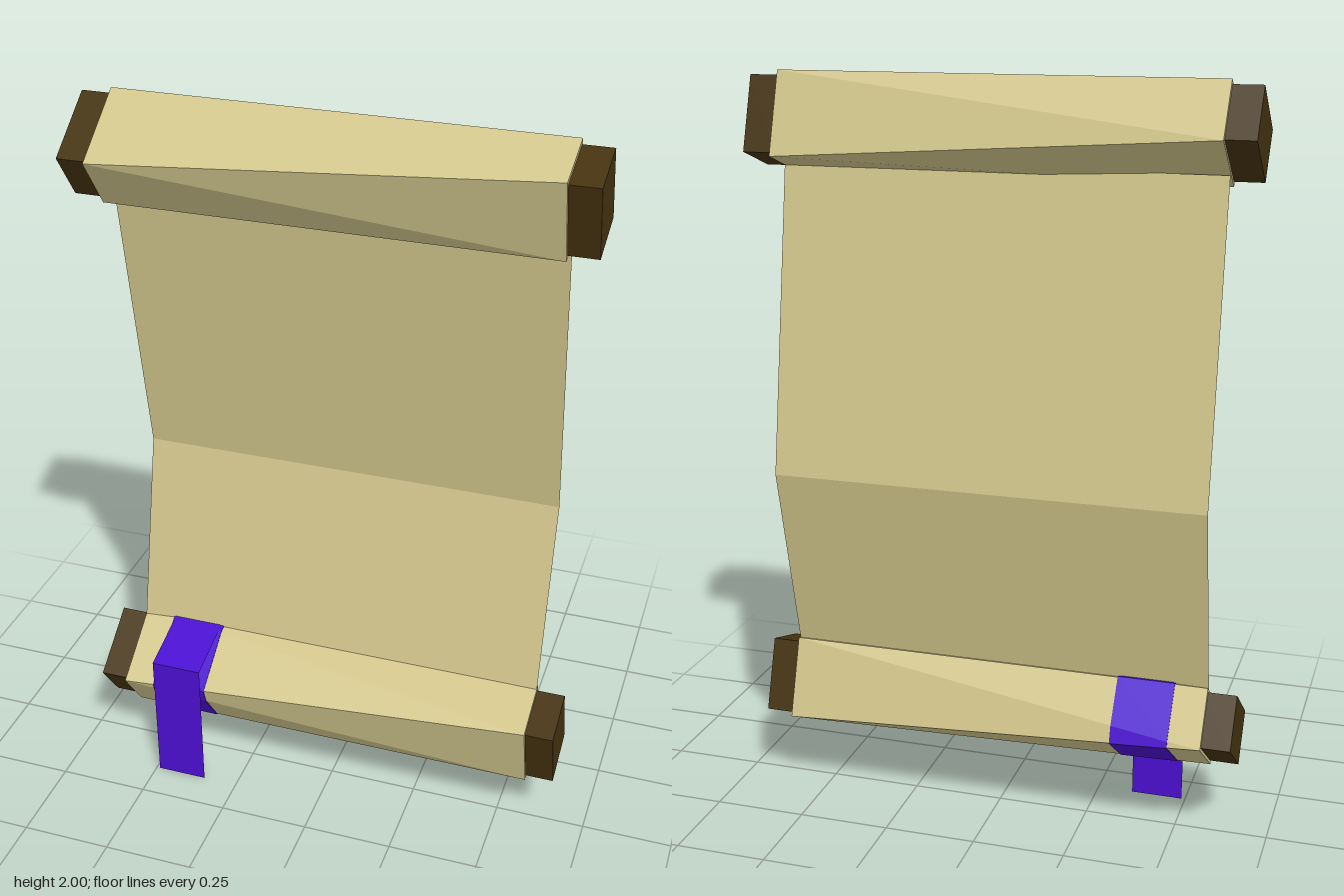
import * as THREE from 'three';

const parchment = new THREE.MeshStandardMaterial({ color: 0xd2c68c, side: THREE.DoubleSide });
parchment.name = 'parchment';
const wood = new THREE.MeshStandardMaterial({ color: 0x45330f });
wood.name = 'darkWood';
const ribbon = new THREE.MeshStandardMaterial({ color: 0x4b0fd0, side: THREE.DoubleSide });
ribbon.name = 'purpleRibbon';
for (const m of [parchment, wood, ribbon]) m.flatShading = true;

// Twisted roll sections at both ends, as [z, y] about the roll axis: front, top, back, bottom
const LEFT = [[0.145, 0], [-0.04, 0.132], [-0.135, -0.003], [0.05, -0.133]];
const RIGHT = [[0.12, 0.083], [-0.04, 0.132], [-0.11, -0.08], [0.05, -0.133]];
const HALF = 0.583;

const grow = (section, s) => section.map(([z, y]) => [0.005 + (z - 0.005) * s, y * s]);
const mix = (a, b, t) => [a[0] + (b[0] - a[0]) * t, a[1] + (b[1] - a[1]) * t];

function geometryFrom(triangles) {
  const g = new THREE.BufferGeometry();
  g.setAttribute('position', new THREE.Float32BufferAttribute(triangles.flat(2), 3));
  g.computeVertexNormals();
  return g;
}

// Solid between two sections with equal point counts, at x0 < x1
function loft(a, x0, b, x1) {
  const A = a.map(([z, y]) => [x0, y, z]);
  const B = b.map(([z, y]) => [x1, y, z]);
  const n = A.length;
  const tris = [];
  for (let i = 0; i < n; i++) {
    const j = (i + 1) % n;
    tris.push([A[i], B[i], A[j]], [A[j], B[i], B[j]]);
    if (i > 0 && i < n - 1) tris.push([A[0], A[i], A[j]], [B[0], B[j], B[i]]);
  }
  return geometryFrom(tris);
}

// Open sheet following a [z, y] path
function sheet(path, x0, x1) {
  const tris = [];
  for (let i = 0; i < path.length - 1; i++) {
    const [[za, ya], [zb, yb]] = [path[i], path[i + 1]];
    const p = [x0, ya, za], q = [x1, ya, za], r = [x1, yb, zb], s = [x0, yb, zb];
    tris.push([p, s, r], [p, r, q]);
  }
  return geometryFrom(tris);
}

// Section of the faceted roll at any x, including the diagonal creases
function rollSection(x) {
  const t = (x + HALF) / (2 * HALF);
  return LEFT.flatMap((p, i) => [mix(p, RIGHT[i], t), mix(LEFT[(i + 1) % 4], RIGHT[i], t)]);
}

function add(parent, name, geometry, material) {
  const mesh = new THREE.Mesh(geometry, material);
  mesh.name = name;
  parent.add(mesh);
  return mesh;
}

export function createModel() {
  const model = new THREE.Group();
  model.name = 'scroll';

  // Rolled ends with wooden handles
  for (const [name, y] of [['topRoll', 1.868], ['bottomRoll', 0.303]]) {
    const roll = new THREE.Group();
    roll.name = name;
    roll.position.y = y;
    add(roll, 'rolledParchment', loft(LEFT, -HALF, RIGHT, HALF), parchment);
    const l = grow(LEFT, 0.9), r = grow(RIGHT, 0.9);
    add(roll, 'rightHandle', loft(l, -0.66, l, -HALF + 0.01), wood);
    add(roll, 'leftHandle', loft(r, HALF - 0.01, r, 0.66), wood);
    model.add(roll);
  }

  // Bent page between the rolls
  add(model, 'page', sheet([[-0.012, 1.77], [-0.15, 0.95], [-0.025, 0.42]], -HALF, HALF), parchment);

  // Ribbon wrapped round the lower roll
  const x0 = -0.495, x1 = -0.34;
  const strap = loft(grow(rollSection(x0), 1.02), x0, grow(rollSection(x1), 1.02), x1);
  add(model, 'ribbonWrap', strap, ribbon).position.y = 0.303;

  // Ribbon tail draped over the front
  add(model, 'ribbonTail', sheet([[-0.04, 0.438], [0.147, 0.39], [0.147, 0]], -0.49, -0.348), ribbon);

  return model;
}
